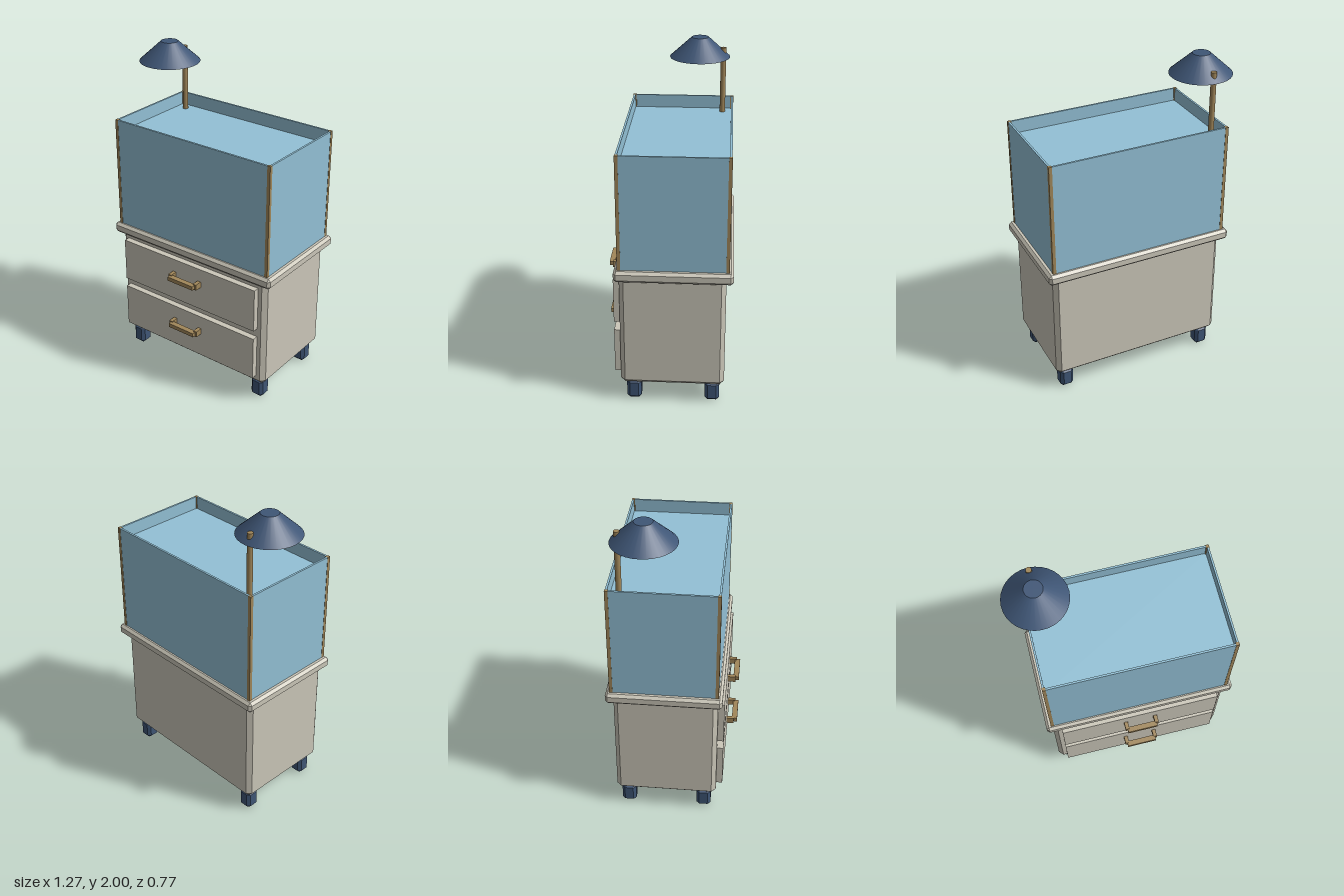
import * as THREE from 'three';
import { ConvexGeometry } from 'three/addons/geometries/ConvexGeometry.js';

const mat = (color, flatShading = true) => new THREE.MeshStandardMaterial({ color, flatShading });

// Box with every edge cut at 45 degrees
function chamferBox(w, h, d, c) {
  const points = [];
  for (const sx of [-1, 1]) for (const sy of [-1, 1]) for (const sz of [-1, 1]) {
    const x = w / 2, y = h / 2, z = d / 2;
    points.push(
      new THREE.Vector3(sx * x, sy * (y - c), sz * (z - c)),
      new THREE.Vector3(sx * (x - c), sy * y, sz * (z - c)),
      new THREE.Vector3(sx * (x - c), sy * (y - c), sz * z));
  }
  return new ConvexGeometry(points);
}

export function createModel() {
  const model = new THREE.Group();
  model.name = 'tankOnCabinet';
  const cream = mat(0xcbc7b9), brass = mat(0xa1875a), navy = mat(0x3f5676), blue = mat(0x93c1d6);
  const navySmooth = mat(0x3f5676, false), brassSmooth = mat(0xa1875a, false);

  const add = (name, geometry, material, x, y, z, parent = model) => {
    const mesh = new THREE.Mesh(geometry, material);
    mesh.name = name;
    mesh.position.set(x, y, z);
    parent.add(mesh);
    return mesh;
  };
  const box = (w, h, d) => new THREE.BoxGeometry(w, h, d);
  const CX = 0.037, CZ = -0.037; // centre of the cabinet in plan

  // Cabinet body and top slab
  add('cabinetBody', chamferBox(1.11, 0.73, 0.622, 0.027), cream, CX, 0.495, -0.034);
  add('cabinetTop', chamferBox(1.19, 0.068, 0.69, 0.016), cream, CX, 0.871, -0.041);

  // Feet
  for (const x of [-0.447, 0.517]) for (const z of [0.2, -0.273]) {
    add('foot', chamferBox(0.085, 0.128, 0.088, 0.018), navy, x, 0.066, z);
  }

  // Drawers with bar handles
  for (const [bottom, top, handleY] of [[0.19, 0.473, 0.368], [0.53, 0.81, 0.706]]) {
    const drawer = new THREE.Group();
    drawer.name = 'drawer';
    model.add(drawer);
    add('drawerFront', box(1.005, top - bottom, 0.044), cream, CX, (bottom + top) / 2, 0.293, drawer);
    for (const side of [-1, 1]) {
      add('handlePost', box(0.024, 0.038, 0.05), brass, CX + side * 0.096, handleY, 0.337, drawer);
    }
    add('handleBar', box(0.192, 0.026, 0.034), brass, CX, handleY, 0.366, drawer);
  }

  // Glass walls, corner posts and the water filling
  const tankY = 1.252, tankH = 0.698, halfX = 0.557, halfZ = 0.314;
  for (const s of [-1, 1]) {
    add('longGlassWall', box(2 * halfX, tankH, 0.012), blue, CX, tankY, CZ - 0.003 + s * halfZ);
    add('endGlassWall', box(0.012, tankH, 2 * halfZ), blue, CX + s * halfX, tankY, CZ - 0.003);
    for (const t of [-1, 1]) {
      add('cornerPost', box(0.02, tankH + 0.002, 0.02), brass, CX + s * 0.555, tankY, CZ - 0.003 + t * 0.312);
    }
  }
  add('water', box(2 * halfX - 0.012, 0.617, 2 * halfZ - 0.012), blue, CX, 1.2115, CZ - 0.003);

  // Lamp
  add('lampPole', new THREE.CylinderGeometry(0.017, 0.017, 1.035, 16), brassSmooth, -0.45, 1.4175, -0.293);
  add('lampShade', new THREE.CylinderGeometry(0.053, 0.188, 0.123, 32), navySmooth, -0.45, 1.9385, -0.147);

  return model;
}
